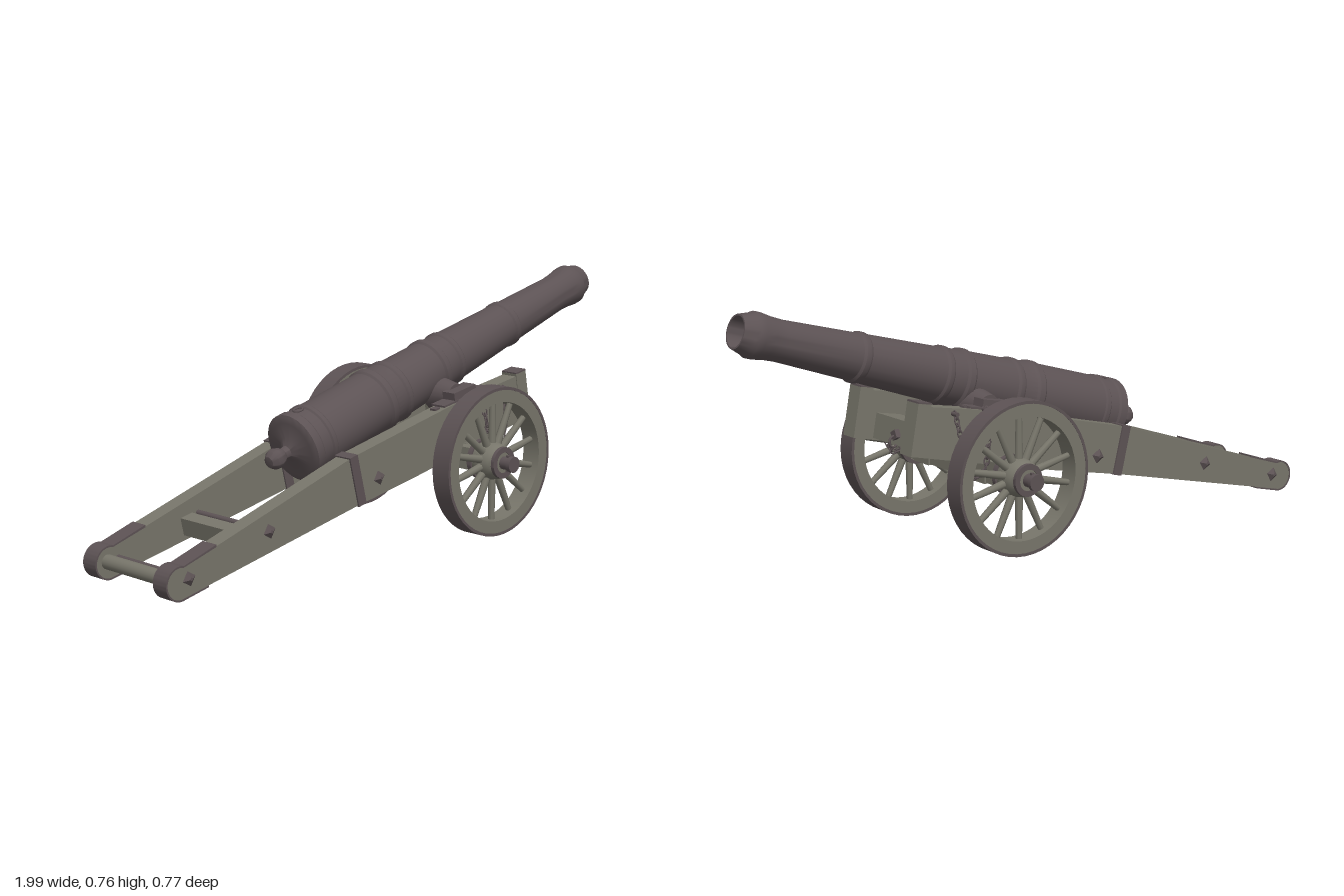
import * as THREE from 'three';
import { toCreasedNormals } from 'three/addons/utils/BufferGeometryUtils.js';

const wood = new THREE.MeshStandardMaterial({ color: 0x77756a });
wood.name = 'weatheredWood';
const iron = new THREE.MeshStandardMaterial({ color: 0x5c5254 });
iron.name = 'darkIron';

function add(parent, name, geo, mat, x = 0, y = 0, z = 0, rz = 0) {
  const m = new THREE.Mesh(geo, mat);
  m.name = name;
  m.position.set(x, y, z);
  m.rotation.z = rz;
  parent.add(m);
  return m;
}
const box = (p, name, mat, sx, sy, sz, x, y, z, rz = 0) =>
  add(p, name, new THREE.BoxGeometry(sx, sy, sz), mat, x, y, z, rz);
const lathe = (pts, n) =>
  toCreasedNormals(new THREE.LatheGeometry(pts.map(([r, h]) => new THREE.Vector2(r, h)), n), 0.6);
// Cylinder lying along z
const rod = (p, name, mat, r, len, x, y, z, r2 = r, n = 20) =>
  add(p, name, new THREE.CylinderGeometry(r2, r, len, n).rotateX(Math.PI / 2), mat, x, y, z);
// Square-section ring lying around z
const ring = (ri, ro, h) =>
  lathe([[ri, -h], [ro, -h], [ro, h], [ri, h], [ri, -h]], 48).rotateX(Math.PI / 2);

function makeBarrel() {
  const g = new THREE.Group();
  g.name = 'barrel';
  const profile = [
    // knob and breech
    [0, -0.104], [0.018, -0.1], [0.03, -0.085], [0.032, -0.07], [0.026, -0.052],
    [0.018, -0.042], [0.02, -0.025], [0.04, -0.012], [0.085, -0.003], [0.102, 0],
    // base ring and first reinforce
    [0.108, 0.004], [0.108, 0.03], [0.103, 0.036], [0.103, 0.07], [0.107, 0.075],
    [0.107, 0.088], [0.103, 0.093], [0.1, 0.335], [0.105, 0.342], [0.105, 0.362], [0.099, 0.37],
    // second reinforce
    [0.097, 0.415], [0.101, 0.421], [0.101, 0.435], [0.095, 0.442], [0.09, 0.6],
    [0.095, 0.607], [0.095, 0.625], [0.088, 0.632],
    // chase
    [0.086, 0.678], [0.09, 0.684], [0.09, 0.697], [0.084, 0.704], [0.073, 0.97],
    [0.077, 0.976], [0.077, 0.992], [0.071, 0.999], [0.061, 1.25],
    // muzzle swell and bore
    [0.063, 1.29], [0.068, 1.325], [0.068, 1.345], [0.062, 1.355], [0.051, 1.39],
    [0.046, 1.39], [0.044, 1.38], [0.044, 0.95], [0, 0.95],
  ];
  add(g, 'gunTube', lathe(profile, 40), iron);
  const vent = add(g, 'ventRing', new THREE.TorusGeometry(0.014, 0.004, 8, 18), iron, -0.104, 0.055, 0);
  vent.rotation.y = Math.PI / 2;
  g.position.set(-0.357, 0.314, 0);
  g.rotation.z = 0.286 - Math.PI / 2;
  return g;
}

// Wheel around z, with its outer side facing +z
function makeWheel() {
  const g = new THREE.Group();
  g.name = 'wheel';
  add(g, 'felloe', ring(0.187, 0.229, 0.032), wood);
  add(g, 'tyre', ring(0.225, 0.234, 0.033), iron);
  const spoke = new THREE.CylinderGeometry(0.0095, 0.013, 0.155, 8);
  for (let i = 0; i < 14; i++) {
    const a = (i / 14) * Math.PI * 2;
    add(g, 'spoke', spoke, wood, -Math.sin(a) * 0.115, Math.cos(a) * 0.115, 0, a);
  }
  const hub = [[0, -0.05], [0.05, -0.05], [0.058, -0.03], [0.06, 0], [0.054, 0.03], [0.044, 0.047], [0, 0.047]];
  add(g, 'hub', lathe(hub, 28).rotateX(Math.PI / 2), wood);
  add(g, 'innerHubBand', ring(0.045, 0.062, 0.008), iron, 0, 0, -0.042);
  add(g, 'outerHubBand', ring(0.032, 0.049, 0.009), iron, 0, 0, 0.041);
  rod(g, 'axleTip', iron, 0.02, 0.06, 0, 0, 0.055);
  rod(g, 'axleCap', iron, 0.025, 0.014, 0, 0, 0.084);
  box(g, 'linchPin', iron, 0.01, 0.052, 0.01, 0, 0, 0.066);
  return g;
}

function cheekGeometry() {
  const s = new THREE.Shape();
  s.moveTo(-0.945, 0.006);
  for (const [x, y] of [[-0.26, 0.155], [-0.01, 0.203], [0.21, 0.25], [0.505, 0.315],
    [0.48, 0.462], [0.21, 0.417], [0, 0.37], [-0.285, 0.305], [-0.94, 0.095]]) s.lineTo(x, y);
  s.absarc(-0.952, 0.051, 0.046, 1.3, Math.PI * 1.55, false);
  return toCreasedNormals(new THREE.ExtrudeGeometry(s, { depth: 0.055, bevelEnabled: false, curveSegments: 16 }), 0.5);
}

// Iron shoe wrapping the rounded trail end
function shoeGeometry() {
  const s = new THREE.Shape();
  s.moveTo(-0.82, 0.132);
  s.lineTo(-0.94, 0.095);
  s.absarc(-0.952, 0.051, 0.046, 1.3, Math.PI * 1.55, false);
  s.lineTo(-0.85, 0.026);
  s.lineTo(-0.85, 0.022);
  s.absarc(-0.952, 0.051, 0.051, Math.PI * 1.55, 1.3, true);
  s.lineTo(-0.821, 0.139);
  return toCreasedNormals(new THREE.ExtrudeGeometry(s, { depth: 0.058, bevelEnabled: false, curveSegments: 16 }), 0.5);
}

// Hanging chain of alternating links
function addChain(parent, side) {
  const path = new THREE.CatmullRomCurve3([
    [0.26, 0.425, 0.2], [0.268, 0.34, 0.22], [0.285, 0.245, 0.218], [0.325, 0.235, 0.216],
    [0.35, 0.3, 0.222], [0.365, 0.37, 0.215], [0.37, 0.425, 0.2],
  ].map(([x, y, z]) => new THREE.Vector3(x, y, z * side)));
  const link = new THREE.TorusGeometry(0.0095, 0.0028, 6, 12).scale(0.8, 1.35, 1);
  const up = new THREE.Vector3(0, 1, 0);
  const n = 24;
  for (let i = 0; i < n; i++) {
    const u = i / (n - 1);
    const p = path.getPointAt(u);
    const m = add(parent, 'chainLink', link, iron, p.x, p.y, p.z);
    m.quaternion.setFromUnitVectors(up, path.getTangentAt(u));
    m.rotateY(i % 2 ? Math.PI / 2 : 0);
  }
  for (const x of [0.26, 0.37]) rod(parent, 'chainStaple', iron, 0.007, 0.03, x, 0.428, 0.195 * side, 0.007, 10);
  // small hook beside the chain
  const hook = add(parent, 'hook', new THREE.TorusGeometry(0.016, 0.004, 6, 14, 4.2), iron, 0.3, 0.29, 0.195 * side);
  hook.rotation.y = Math.PI / 2;
}

export function createModel() {
  const model = new THREE.Group();
  model.name = 'fieldCannon';
  model.add(makeBarrel());

  const carriage = new THREE.Group();
  carriage.name = 'carriage';
  model.add(carriage);
  const cheek = cheekGeometry();
  const shoe = shoeGeometry();

  for (const side of [1, -1]) {
    const z = 0.1575 * side;
    // side beams and their ironwork
    add(carriage, 'cheek', cheek, wood, 0, 0, z - 0.0275);
    add(carriage, 'trailShoe', shoe, iron, 0, 0, z - 0.029);
    box(carriage, 'frontBlock', wood, 0.046, 0.157, 0.06, 0.482, 0.391, z, 0.18);
    box(carriage, 'frontStrap', iron, 0.046, 0.005, 0.06, 0.468, 0.47, z, 0.18);
    box(carriage, 'cheekStrap', iron, 0.032, 0.158, 0.066, -0.268, 0.231, z, 0.24);
    box(carriage, 'topStrap', iron, 0.2, 0.006, 0.054, 0.21, 0.42, z, 0.18);
    box(carriage, 'trunnionCap', iron, 0.1, 0.03, 0.05, 0.21, 0.432, z, 0.18);
    for (const x of [0.1, 0.31]) box(carriage, 'capBolt', iron, 0.022, 0.02, 0.022, x, 0.41 + (x - 0.21) * 0.2, z, 0.18);
    box(carriage, 'axleStrap', wood, 0.1, 0.075, 0.08, 0.211, 0.238, 0.15 * side);

    // diamond bolt heads, inside plates
    for (const [x, y] of [[-0.92, 0.06], [-0.62, 0.14], [-0.175, 0.225]]) {
      const head = new THREE.CylinderGeometry(0.006, 0.025, 0.012, 4, 1).toNonIndexed();
      head.computeVertexNormals();
      head.rotateX(side * Math.PI / 2);
      add(carriage, 'boltHead', head, iron, x, y, 0.19 * side, 0.25);
    }

    // trunnion tapering away from the barrel
    const t = rod(model, 'trunnion', iron, 0.055, 0.09, 0.21, 0.42, 0.1 * side, 0.038);
    if (side < 0) t.rotation.y = Math.PI;

    addChain(carriage, side);

    const wheel = makeWheel();
    wheel.position.set(0.211, 0.235, 0.295 * side);
    if (side < 0) wheel.rotation.y = Math.PI;
    model.add(wheel);
  }

  // axle bed
  box(carriage, 'axleBed', wood, 0.088, 0.07, 0.49, 0.211, 0.238, 0);
  rod(carriage, 'axle', iron, 0.02, 0.7, 0.211, 0.235, 0);

  // transoms and tie rods
  box(carriage, 'frontTransom', wood, 0.085, 0.078, 0.27, 0.4, 0.34, 0, 0.18);
  box(carriage, 'middleTransom', wood, 0.07, 0.05, 0.27, -0.15, 0.195, 0, 0.2);
  box(carriage, 'rearTransom', wood, 0.045, 0.055, 0.27, -0.66, 0.113, 0, 0.22);
  rod(carriage, 'rearTieRod', iron, 0.009, 0.37, -0.62, 0.14, 0);
  rod(carriage, 'middleTieRod', iron, 0.009, 0.37, -0.175, 0.225, 0);
  rod(carriage, 'trailRail', wood, 0.022, 0.27, -0.958, 0.055, 0);
  rod(carriage, 'trailTieRod', iron, 0.009, 0.37, -0.92, 0.06, 0);

  // nut and ring on the front transom
  const nut = box(carriage, 'transomNut', iron, 0.016, 0.026, 0.026, 0.45, 0.342, 0);
  nut.rotation.x = 0.5;
  const eye = add(carriage, 'transomRing', new THREE.TorusGeometry(0.017, 0.004, 6, 16), iron, 0.458, 0.322, 0);
  eye.rotation.y = 0.2;

  return model;
}
